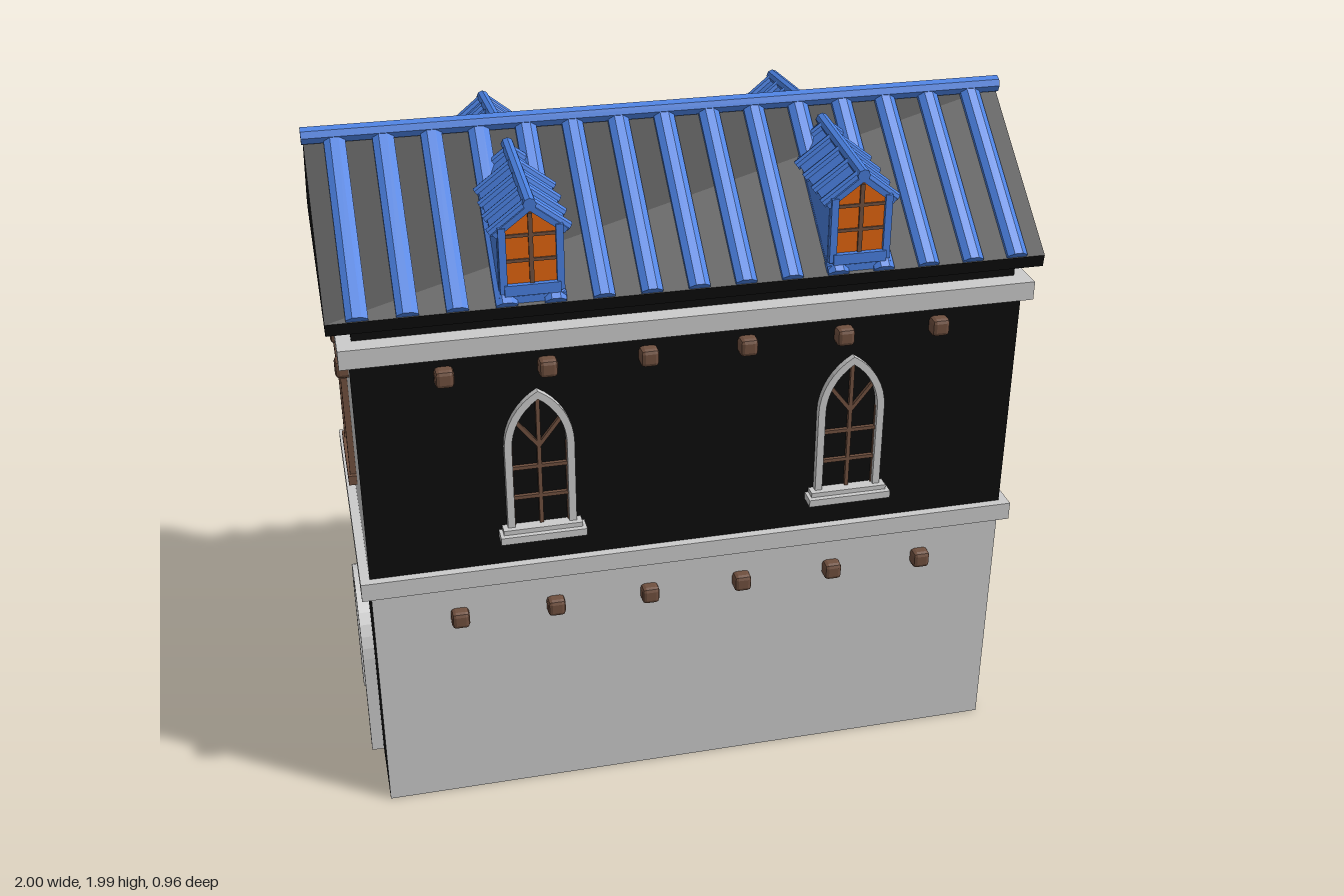
import * as THREE from 'three';
import { RoundedBoxGeometry } from 'three/addons/geometries/RoundedBoxGeometry.js';

const mat = (color, extra = {}) => new THREE.MeshStandardMaterial({ color, flatShading: true, ...extra });
const stone = mat(0xcccccc);
const black = mat(0x0c0c0c);
const blue = mat(0x4a80e0);
const brown = mat(0x70503f);
const orange = mat(0xe0640f);
const steel = mat(0x28506a);
const stoneWall = mat(0xcccccc, { side: THREE.DoubleSide });
const blackWall = mat(0x0c0c0c, { side: THREE.DoubleSide });

const HX = 0.943, HZ = 0.43; // half size of the walls
const ROOF_TOP = 1.95, EAVE_Y = 1.605, EAVE_Z = 0.445;

function add(parent, name, geometry, material, x = 0, y = 0, z = 0) {
  const m = new THREE.Mesh(geometry, material);
  m.name = name;
  m.position.set(x, y, z);
  parent.add(m);
  return m;
}
const box = (parent, name, w, h, d, material, x, y, z) =>
  add(parent, name, new THREE.BoxGeometry(w, h, d), material, x, y, z);

function named(name) {
  const g = new THREE.Group();
  g.name = name;
  return g;
}

// Bar between two points in the local xy plane
function bar(parent, name, x1, y1, x2, y2, t, material, z) {
  const m = box(parent, name, Math.hypot(x2 - x1, y2 - y1), t, t, material, (x1 + x2) / 2, (y1 + y2) / 2, z);
  m.rotation.z = Math.atan2(y2 - y1, x2 - x1);
}

// Put a part that faces +z onto one of the four walls, u to its own right
function place(root, part, side, u, y) {
  const angle = { front: 0, right: Math.PI / 2, back: Math.PI, left: -Math.PI / 2 }[side];
  const out = side === 'front' || side === 'back' ? HZ : HX;
  part.rotation.y = angle;
  part.position.set(out * Math.sin(angle) + u * Math.cos(angle), y, out * Math.cos(angle) - u * Math.sin(angle));
  root.add(part);
}

// Arch outline: straight legs, then two arcs that meet at the rise
function archPoints(half, legs, rise, steps = 8) {
  const r = (half * half + rise * rise) / (2 * half);
  const end = Math.asin(Math.min(1, rise / r));
  const right = [new THREE.Vector2(half, 0)];
  for (let i = 0; i <= steps; i++) {
    const a = (end * i) / steps;
    right.push(new THREE.Vector2(half - r + r * Math.cos(a), legs + r * Math.sin(a)));
  }
  const left = right.slice(0, -1).reverse().map(p => new THREE.Vector2(-p.x, p.y));
  return right.concat(left);
}

function archFrame(half, legs, rise, t, depth) {
  const shape = new THREE.Shape(
    archPoints(half, legs, rise).concat(archPoints(half - t, legs, rise - t * 1.15).reverse()));
  return new THREE.ExtrudeGeometry(shape, { depth, bevelEnabled: false });
}

function archedWindow(legs) {
  const g = named('archedWindow');
  add(g, 'windowSurround', archFrame(0.098, legs, 0.17, 0.021, 0.02), stone);
  box(g, 'windowSill', 0.245, 0.022, 0.055, stone, 0, -0.024, 0.0225);
  box(g, 'windowSillStep', 0.225, 0.014, 0.04, stone, 0, -0.006, 0.015);
  bar(g, 'mullion', 0, 0, 0, legs + 0.15, 0.011, brown, 0.005);
  for (let y = 0.09; y < legs; y += 0.095) bar(g, 'glazingBar', -0.08, y, 0.08, y, 0.011, brown, 0.005);
  for (const s of [-1, 1]) {
    bar(g, 'archBar', 0, legs - 0.005, s * 0.062, legs + 0.075, 0.011, brown, 0.005);
    bar(g, 'sideBar', s * 0.077, 0, s * 0.077, legs, 0.006, brown, 0.004);
  }
  return g;
}

function door() {
  const g = named('door');
  add(g, 'doorSurround', archFrame(0.19, 0.35, 0.19, 0.045, 0.036), stone);
  for (let i = -3; i <= 3; i++)
    box(g, 'doorPlank', 0.036, 0.35 + Math.sqrt(0.021 - 0.0016 * i * i), 0.012, black, i * 0.04,
      (0.35 + Math.sqrt(0.021 - 0.0016 * i * i)) / 2, 0.006);
  for (const y of [0.1, 0.2, 0.3, 0.4]) box(g, 'doorStrap', 0.11, 0.014, 0.006, steel, -0.075, y, 0.014);
  return g;
}

function squareWindow() {
  const g = named('squareWindow');
  box(g, 'windowPanes', 0.22, 0.32, 0.008, orange, 0, 0.19, 0.004);
  for (const s of [-1, 1]) box(g, 'windowPost', 0.032, 0.34, 0.018, brown, s * 0.112, 0.19, 0.009);
  box(g, 'windowLintel', 0.28, 0.03, 0.024, brown, 0, 0.365, 0.012);
  box(g, 'windowLedge', 0.28, 0.03, 0.024, brown, 0, 0.015, 0.012);
  box(g, 'mullion', 0.026, 0.33, 0.015, brown, 0, 0.19, 0.008);
  for (const y of [0.11, 0.19, 0.27]) box(g, 'glazingBar', 0.22, 0.013, 0.013, brown, 0, y, 0.007);
  return g;
}

// Dormer facing +z, its origin on the centre line of the house
function dormer() {
  const g = named('dormer');
  const outline = new THREE.Shape([[-0.088, 1.625], [0.088, 1.625], [0.088, 1.82], [0, 1.89], [-0.088, 1.82]]
    .map(p => new THREE.Vector2(...p)));
  add(g, 'dormerBody', new THREE.ExtrudeGeometry(outline, { depth: 0.335, bevelEnabled: false }), blue, 0, 0, 0.09);
  const pane = new THREE.Shape([[-0.066, 1.665], [0.066, 1.665], [0.066, 1.82], [0, 1.87], [-0.066, 1.82]]
    .map(p => new THREE.Vector2(...p)));
  add(g, 'dormerPanes', new THREE.ExtrudeGeometry(pane, { depth: 0.006, bevelEnabled: false }), orange, 0, 0, 0.424);
  bar(g, 'dormerMullion', 0, 1.665, 0, 1.86, 0.012, brown, 0.43);
  for (const y of [1.73, 1.8]) bar(g, 'dormerGlazingBar', -0.066, y, 0.066, y, 0.009, brown, 0.43);
  for (const s of [-1, 1]) bar(g, 'dormerPost', s * 0.076, 1.64, s * 0.076, 1.825, 0.02, blue, 0.43);
  box(g, 'dormerSill', 0.15, 0.03, 0.03, blue, 0, 1.65, 0.43);
  box(g, 'dormerBase', 0.18, 0.02, 0.03, blue, 0, 1.622, 0.425);

  // Ribbed roof, rising a little toward the main ridge
  const roof = named('dormerRoof');
  roof.position.set(0, 1.885, 0.44);
  roof.rotation.x = 0.08;
  for (const s of [-1, 1]) {
    const slope = named('dormerRoofSide');
    slope.rotation.z = -s * 0.67;
    box(slope, 'dormerRoofPanel', 0.126, 0.016, 0.37, blue, s * 0.063, -0.006, -0.185);
    for (let i = 0; i < 5; i++) {
      const rib = add(slope, 'dormerTileRib', new THREE.CylinderGeometry(0.014, 0.014, 0.132, 8), blue,
        s * 0.066, 0.002, -0.02 - i * 0.08);
      rib.rotation.z = Math.PI / 2;
    }
    roof.add(slope);
  }
  const cap = add(roof, 'dormerRidge', new THREE.CylinderGeometry(0.018, 0.018, 0.38, 8), blue, 0, 0.001, -0.19);
  cap.rotation.x = Math.PI / 2;
  g.add(roof);
  return g;
}

export function createModel() {
  const root = named('house');

  // Walls, open underneath
  const wall = (name, side, w, y0, y1, material) => {
    const g = named(name);
    add(g, name + 'Panel', new THREE.PlaneGeometry(w, y1 - y0), material, 0, (y1 - y0) / 2, 0);
    place(root, g, side, 0, y0);
  };
  for (const side of ['front', 'back']) {
    wall('lowerLongWall', side, HX * 2, 0, 0.77, stoneWall);
    wall('upperLongWall', side, HX * 2, 0.77, 1.5, blackWall);
  }
  for (const side of ['left', 'right']) {
    wall('lowerEndWall', side, HZ * 2, 0, 0.77, blackWall);
    wall('upperEndWall', side, HZ * 2, 0.77, 1.5, side === 'left' ? stoneWall : blackWall);
  }
  box(root, 'middleBand', 1.94, 0.055, 0.91, stone, 0, 0.772, 0);
  box(root, 'upperBand', 1.94, 0.055, 0.91, stone, 0, 1.503, 0);
  box(root, 'roofPlinth', 1.86, 0.05, 0.8, black, 0, 1.55, 0);

  // Beam ends
  const beamGeometry = new RoundedBoxGeometry(0.052, 0.052, 0.07, 1, 0.012);
  const beam = (side, u, y) => {
    const g = named('beamEnd');
    add(g, 'beam', beamGeometry, brown);
    place(root, g, side, u, y);
  };
  for (const side of ['front', 'back'])
    for (let i = 0; i < 6; i++) for (const y of [0.638, 1.418]) beam(side, (i - 2.5) * 0.279, y);
  for (const side of ['left', 'right'])
    for (let i = 0; i < 4; i++) beam(side, (i - 1.5) * 0.215, 1.42);

  // Windows and door
  for (const x of [-0.45, 0.45]) {
    place(root, archedWindow(0.255), 'front', x, 0.925);
    place(root, archedWindow(0.255), 'back', x, 0.925);
  }
  for (const y of [0.245, 1.003]) place(root, archedWindow(0.167), 'right', 0, y);
  place(root, door(), 'left', 0, 0);
  place(root, squareWindow(), 'left', 0, 0.94);

  // Gabled roof
  const gable = new THREE.Shape([[-0.44, 1.57], [0.44, 1.57], [EAVE_Z, EAVE_Y], [0, ROOF_TOP], [-EAVE_Z, EAVE_Y]]
    .map(p => new THREE.Vector2(...p)));
  const roof = add(root, 'roof', new THREE.ExtrudeGeometry(gable, { depth: 1.99, bevelEnabled: false }), black, -0.995);
  roof.rotation.y = Math.PI / 2;

  // Raised strips down both slopes
  const rise = ROOF_TOP - EAVE_Y;
  const length = Math.hypot(EAVE_Z, rise);
  const stripGeometry = new THREE.CylinderGeometry(0.03, 0.03, length, 8);
  stripGeometry.rotateY(Math.PI / 8).scale(1.05, 1, 0.7);
  for (const s of [-1, 1])
    for (let i = 0; i < 15; i++) {
      const strip = add(root, 'roofStrip', stripGeometry, blue, (i - 7) * 0.1302, (ROOF_TOP + EAVE_Y) / 2 + 0.003, s * EAVE_Z / 2);
      strip.rotation.x = -s * Math.atan2(EAVE_Z, rise);
    }
  const ridge = add(root, 'roofRidge', new THREE.CylinderGeometry(0.025, 0.025, 2, 8), blue, 0, 1.96, 0);
  ridge.rotation.z = Math.PI / 2;

  // Dormers on both slopes
  for (const x of [-0.45, 0.45])
    for (const turn of [0, Math.PI]) {
      const d = dormer();
      d.position.x = x;
      d.rotation.y = turn;
      root.add(d);
    }
  return root;
}
